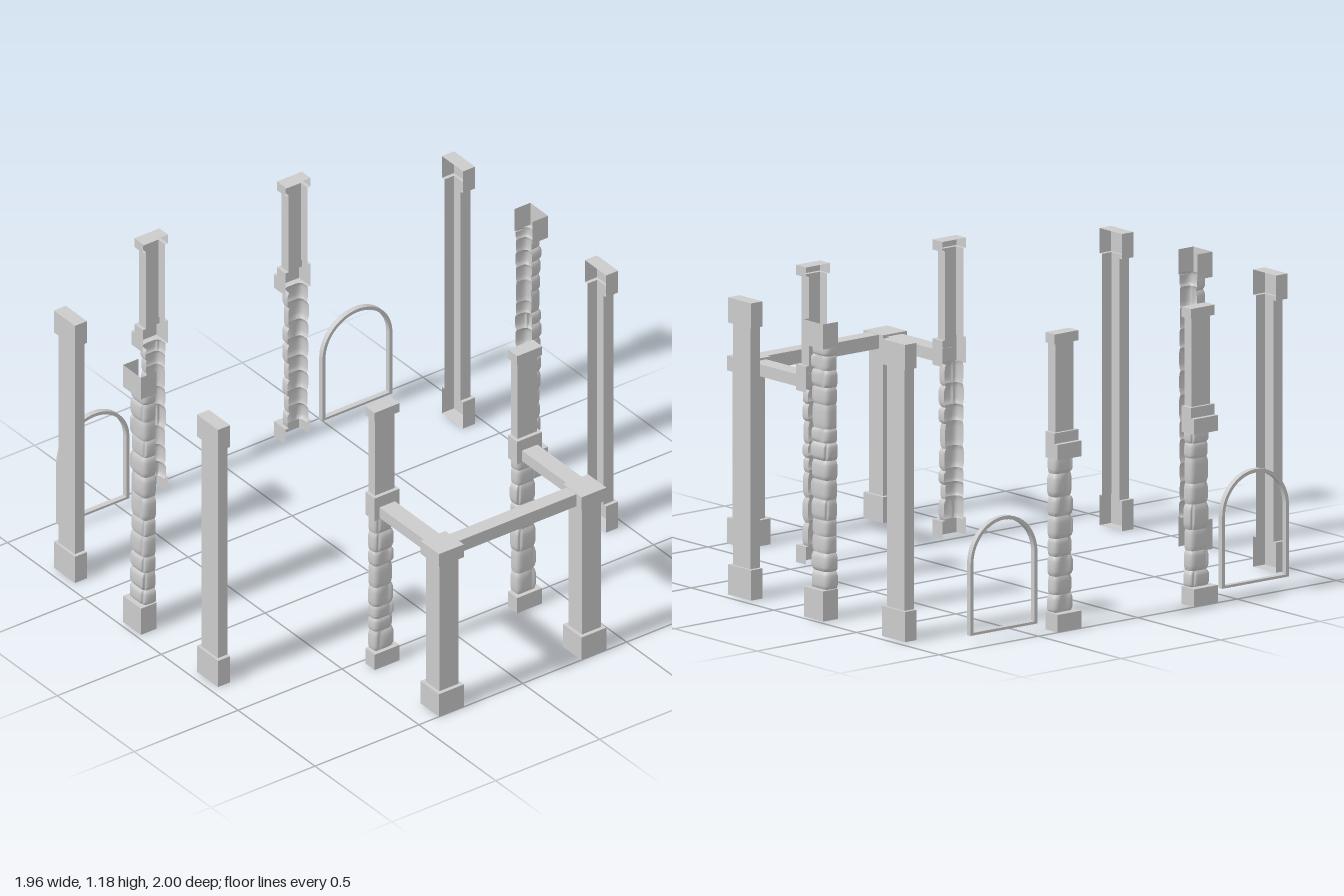
import * as THREE from 'three';

const grey = new THREE.MeshStandardMaterial({ color: 0xcccccc });
const shell = new THREE.MeshStandardMaterial({ color: 0xcccccc, side: THREE.DoubleSide });

function seeded(seed) {
  let s = seed * 7919 + 17;
  return () => (s = (s * 16807) % 2147483647) / 2147483647;
}

// Skins a list of open cross-sections, each an array of Vector3
function loft(rings, smooth) {
  const n = rings[0].length, index = [];
  const pts = rings.flat();
  const tri = new THREE.Triangle();
  const add = (a, b, c) => {
    tri.set(pts[a], pts[b], pts[c]);
    if (tri.getArea() > 1e-9) index.push(a, b, c);
  };
  for (let i = 0; i < rings.length - 1; i++) {
    for (let j = 0; j < n - 1; j++) {
      const a = i * n + j, c = a + n;
      add(a, a + 1, c + 1);
      add(a, c + 1, c);
    }
  }
  let geo = new THREE.BufferGeometry().setFromPoints(pts);
  geo.setIndex(index);
  if (!smooth) geo = geo.toNonIndexed();
  geo.computeVertexNormals();
  return geo;
}

// Square channel, open behind; each step is [height, half width, depth]
function channel(name, steps) {
  const rings = steps.map(([y, w, d]) =>
    [[-w, 0], [-w, d], [w, d], [w, 0]].map(([x, z]) => new THREE.Vector3(x, y, z)));
  const mesh = new THREE.Mesh(loft(rings, false), shell);
  mesh.name = name;
  return mesh;
}

// Rounded half column of rough stones laid in uneven courses
function stoneShaft(y0, y1, w, d, seed) {
  const rnd = seeded(seed), rings = [], cols = 28, courses = [];
  for (let y = y0; y < y1 - 0.04;) {
    const top = Math.min(y1, y + 0.055 + 0.05 * rnd());
    const split = 0.25 + 0.5 * rnd();
    courses.push({ y, top, split, tilt: (rnd() - 0.5) * 0.02, out: [rnd(), rnd()] });
    y = top;
  }
  courses[courses.length - 1].top = y1;
  for (const c of courses) {
    for (const v of [0, 0.1, 0.25, 0.5, 0.75, 0.9, 1]) {
      const ring = [];
      for (let j = 0; j <= cols; j++) {
        const u = j / cols, a = u * Math.PI;
        const left = u < c.split;
        const gap = Math.min(1, Math.abs(u - c.split) * 14);
        const joint = Math.min(1, v * 6, (1 - v) * 6) * gap;
        const grow = -0.004 + joint * (0.003 + 0.007 * c.out[left ? 0 : 1]);
        const cx = Math.cos(a), sz = Math.max(0, Math.sin(a));
        const lean = c.tilt * (u - 0.5) * Math.sin(Math.PI * v);
        ring.push(new THREE.Vector3(
          -Math.sign(cx) * Math.abs(cx) ** 0.45 * (w + grow),
          c.y + (c.top - c.y) * v + lean,
          sz ** 0.45 * (d + grow)));
      }
      rings.push(ring);
    }
  }
  const mesh = new THREE.Mesh(loft(rings, true), shell);
  mesh.name = 'stoneShaft';
  return mesh;
}

function box(name, x0, x1, y0, y1, z0, z1) {
  const mesh = new THREE.Mesh(new THREE.BoxGeometry(x1 - x0, y1 - y0, z1 - z0), grey);
  mesh.position.set((x0 + x1) / 2, (y0 + y1) / 2, (z0 + z1) / 2);
  mesh.name = name;
  return mesh;
}

// Groups parts whose local +z is the outward side
function place(name, x, z, turn, parts) {
  const g = new THREE.Group();
  g.name = name;
  g.add(...parts);
  g.position.set(x, 0, z);
  g.rotation.y = turn;
  return g;
}

// Plain pilaster at the corners of the side walls
function cornerPilaster() {
  return [channel('cornerChannel', [
    [0, 0.069, 0], [0, 0.069, 0.058], [0.12, 0.069, 0.058], [0.12, 0.053, 0.047],
    [1.08, 0.053, 0.047], [1.08, 0.069, 0.058], [1.18, 0.069, 0.058], [1.18, 0.069, 0]])];
}

// Rough stone pilaster in the middle of the side walls
function sidePilaster(seed) {
  return [
    channel('base', [[0, 0.058, 0.075], [0.12, 0.058, 0.075], [0.12, 0.047, 0.05]]),
    stoneShaft(0.115, 1.09, 0.05, 0.052, seed),
    channel('capital', [[1.08, 0.047, 0.05], [1.08, 0.058, 0.075], [1.18, 0.058, 0.075]]),
  ];
}

// Stone lower shaft, middle block, plain upper shaft and capital
function wallPilaster(baseDepth, blockDepth, topDepth, seed) {
  const w = 0.06, s = 0.046, d = 0.044;
  return [
    channel('base', [[0, w, baseDepth], [0.07, w, baseDepth], [0.07, s - 0.003, d - 0.002]]),
    stoneShaft(0.065, 0.69, s, d, seed),
    channel('upperShaft', [
      [0.683, s, d], [0.683, w, blockDepth], [0.745, w, blockDepth], [0.745, w, topDepth],
      [0.787, w, topDepth], [0.787, s, d], [1.14, s, d], [1.14, w, topDepth],
      [1.18, w, topDepth], [1.18, w, 0]]),
  ];
}

// Arched window frame
function windowFrame() {
  const outline = (T, r, y0) => {
    const p = new T();
    p.moveTo(-r, y0);
    p.lineTo(r, y0);
    p.lineTo(r, 0.32);
    p.absarc(0, 0.32, r, 0, Math.PI, false);
    p.lineTo(-r, y0);
    return p;
  };
  const shape = outline(THREE.Shape, 0.168, 0.037);
  shape.holes.push(outline(THREE.Path, 0.154, 0.047));
  const geo = new THREE.ExtrudeGeometry(shape, { depth: 0.022, bevelEnabled: false, curveSegments: 24 });
  const mesh = new THREE.Mesh(geo, grey);
  mesh.name = 'archedFrame';
  return mesh;
}

export function createModel() {
  const model = new THREE.Group();
  model.name = 'columnsAndPorch';
  const H = Math.PI / 2, px = 0.343;

  for (const s of [-1, 1]) {
    // Side walls
    for (const z of [0.251, -0.68]) {
      model.add(place('cornerPilaster', s * 0.905, z, s * H, cornerPilaster()));
    }
    model.add(place('sidePilaster', s * 0.905, -0.217, s * H, sidePilaster(5 + s)));

    // Front and back walls
    model.add(place('frontPilaster', s * px, 0.522, 0, wallPilaster(0.06, 0.06, 0.06, 12 + s)));
    model.add(place('backPilaster', s * px, -0.925, Math.PI, wallPilaster(0.075, 0.075, 0.056, 21 + s)));
    model.add(place('window', s * 0.633, -0.952, 0, [windowFrame()]));

    // Porch post and side beam
    model.add(place('porchPost', s * px, 0.94, 0, [
      box('postBase', -0.06, 0.06, 0, 0.103, -0.06, 0.06),
      box('postShaft', -0.046, 0.046, 0.103, 0.687, -0.043, 0.043),
      box('postCapital', -0.06, 0.06, 0.687, 0.746, -0.06, 0.06),
      box('sideBeam', -0.037, 0.037, 0.69, 0.738, -0.36, -0.06),
    ]));
  }

  model.add(box('frontBeam', -0.283, 0.283, 0.689, 0.744, 0.905, 0.967));
  return model;
}
